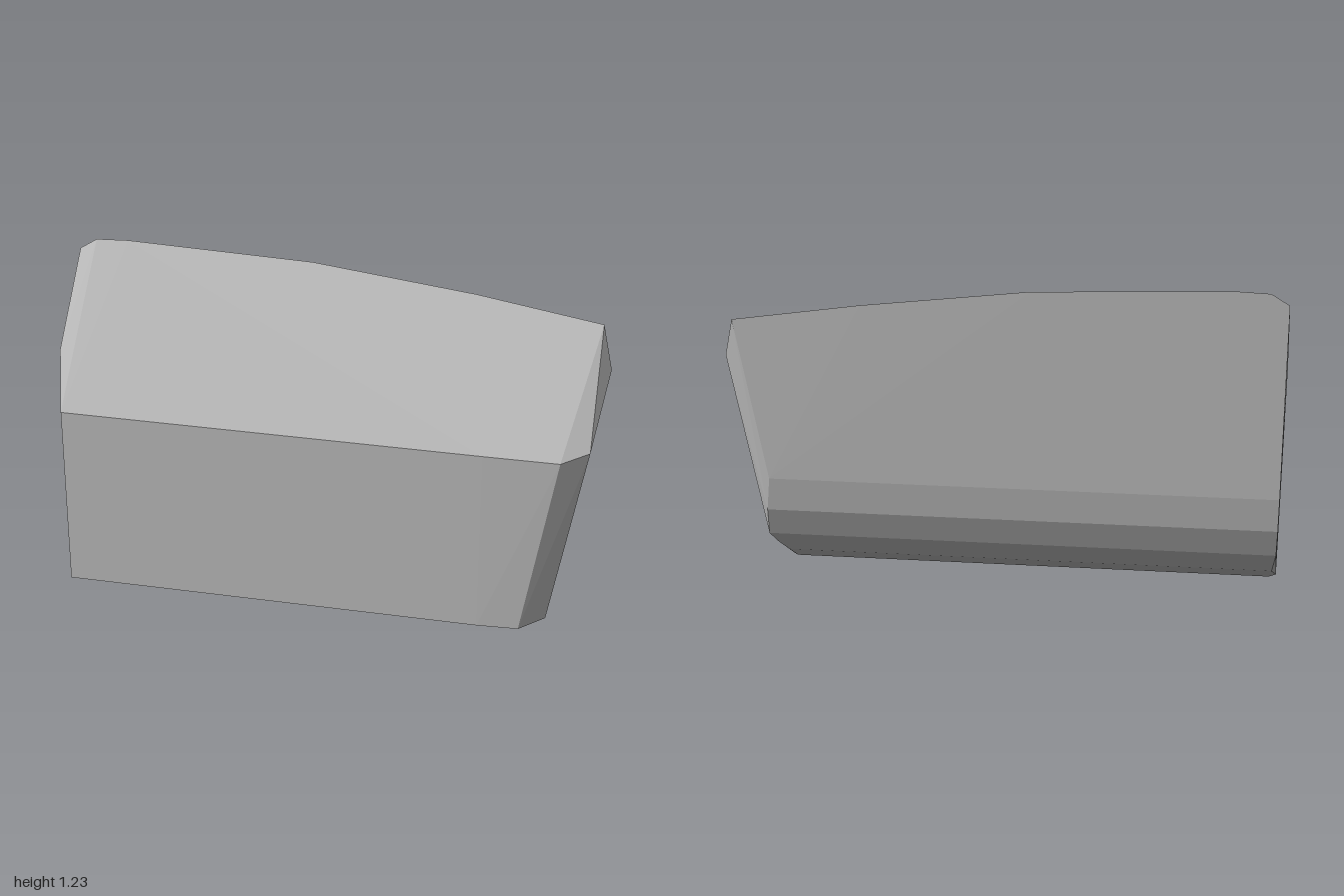
import * as THREE from 'three';
import { ConvexGeometry } from 'three/addons/geometries/ConvexGeometry.js';

export function createModel() {
  const group = new THREE.Group();
  const stone = new THREE.MeshStandardMaterial({ color: 0xb8b8b8 });
  stone.name = 'light grey';

  // curved crest along the top of the back
  const crest = [
    [-0.985, 1.18, -0.197], [-0.92, 1.22, -0.197], [-0.8, 1.225, -0.197],
    [-0.1, 1.2, -0.197], [0.5, 1.13, -0.196], [0.96, 1.06, -0.187], [1, 0.91, -0.14],
  ];
  // upright front face and its bevelled right edge
  const front = [
    [-0.95, 0, 0.197], [-0.95, 0.69, 0.197], [0.6, 0, 0.194], [0.6, 0.685, 0.196],
    [0.75, 0, 0.185], [0.87, 0.68, 0.185], [0.84, 0.02, 0.12], [0.965, 0.7, 0.12],
  ];
  // slight bulge of the left side
  const side = [[-0.998, 0.87, 0.04], [-0.995, 0.06, 0.04]];
  // rounded underside, each row running from end to end: [left x, right x, y, z]
  const underside = [
    [-0.96, 0.79, 0.02, 0.11], [-0.97, 0.81, 0.045, 0.05], [-0.975, 0.82, 0.115, -0.05],
    [-0.98, 0.855, 0.16, -0.08], [-0.985, 0.873, 0.215, -0.132],
    [-0.985, 0.865, 0.33, -0.178], [-0.985, 0.85, 0.46, -0.195],
  ].flatMap(([left, right, y, z]) => [[left, y, z], [right, y, z]]);

  const points = [...crest, ...front, ...side, ...underside]
    .map((p) => new THREE.Vector3(...p));
  const block = new THREE.Mesh(new ConvexGeometry(points), stone);
  block.name = 'wedgeBlock';
  group.add(block);
  return group;
}
